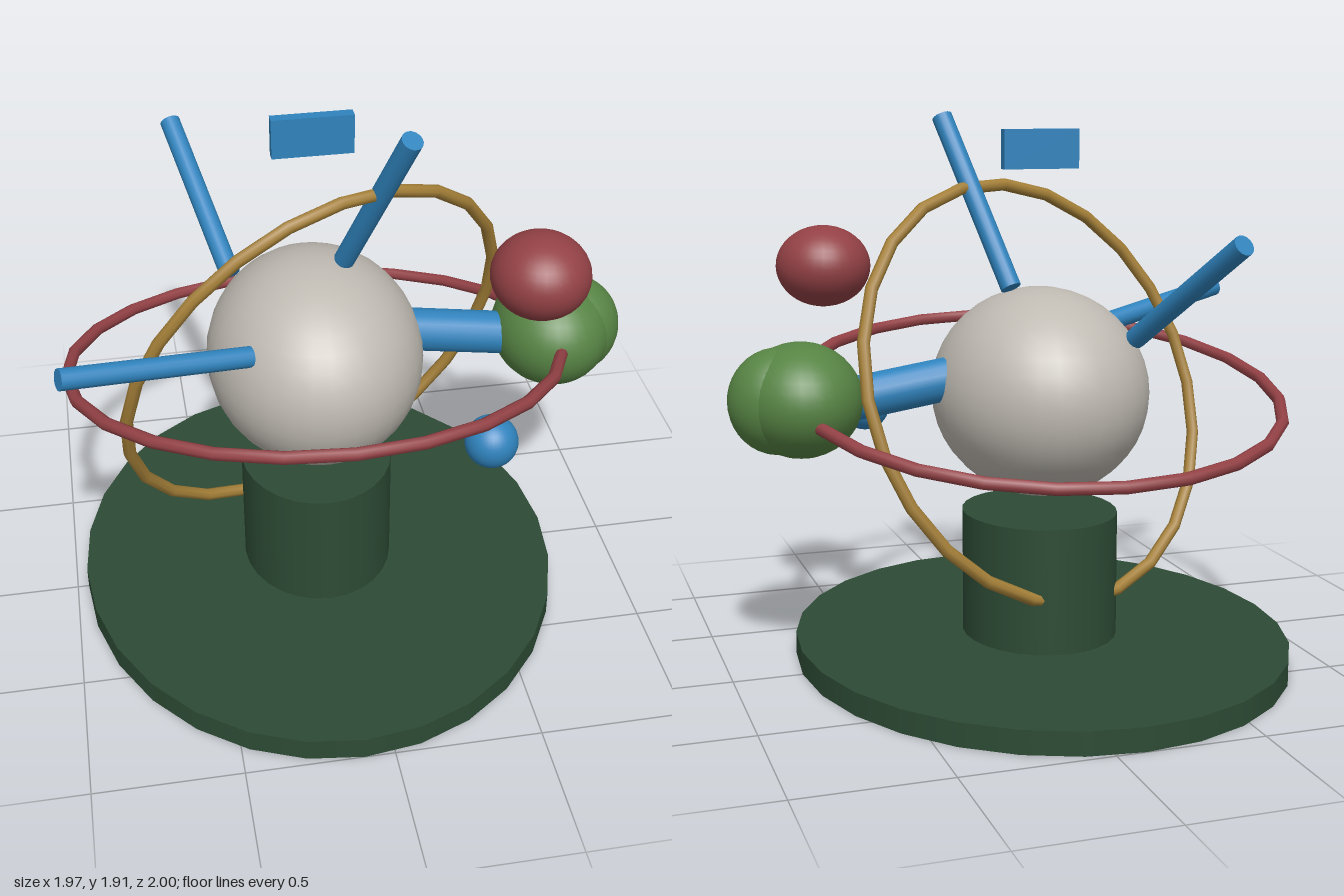
import * as THREE from 'three';

const mat = (name, color) => {
  const m = new THREE.MeshStandardMaterial({ color });
  m.name = name;
  return m;
};

export function createModel() {
  const model = new THREE.Group();
  model.name = 'orrerySculpture';

  const darkGreen = mat('dark green', 0x2d4b35);
  const stone = mat('pale stone', 0xbfbab2);
  const blue = mat('blue', 0x2f83bd);
  const red = mat('dull red', 0x934145);
  const gold = mat('old gold', 0xa58038);
  const green = mat('leaf green', 0x578444);

  const add = (name, geometry, material, pos = [0, 0, 0], scale = [1, 1, 1]) => {
    const mesh = new THREE.Mesh(geometry, material);
    mesh.name = name;
    mesh.position.set(...pos);
    mesh.scale.set(...scale);
    model.add(mesh);
    return mesh;
  };

  // Ellipsoid from centre and three radii
  const ball = (name, material, pos, radii) =>
    add(name, new THREE.SphereGeometry(1, 32, 20), material, pos, radii);

  // Straight round rod between two points
  const rod = (name, material, from, to, radius) => {
    const a = new THREE.Vector3(...from);
    const b = new THREE.Vector3(...to);
    const dir = b.clone().sub(a);
    const mesh = add(name, new THREE.CylinderGeometry(radius, radius, dir.length(), 16), material);
    mesh.position.copy(a).add(b).multiplyScalar(0.5);
    mesh.quaternion.setFromUnitVectors(new THREE.Vector3(0, 1, 0), dir.normalize());
  };

  // Tilted elliptical ring: reach and phase (degrees) along each axis
  const ring = (name, material, reach, phase, tube) => {
    const curve = new THREE.Curve();
    curve.getPoint = (t, target = new THREE.Vector3()) => {
      const [x, y, z] = reach.map((r, i) => r * Math.cos(t * Math.PI * 2 - THREE.MathUtils.degToRad(phase[i])));
      return target.set(x, y, z);
    };
    add(name, new THREE.TubeGeometry(curve, 24, tube, 8, true), material, [-0.1, 0.945, 0]);
  };

  // Oval base and column
  add('base', new THREE.CylinderGeometry(1, 1, 0.08, 28), darkGreen, [-0.1, 0.04, 0], [0.86, 1, 1]);
  add('column', new THREE.CylinderGeometry(1, 1, 0.44, 28), darkGreen, [-0.1, 0.3, 0], [0.27, 1, 0.31]);

  // Central globe and its orbits
  ball('globe', stone, [-0.1, 0.945, 0], [0.375, 0.365, 0.435]);
  ring('redOrbit', red, [0.855, 0.165, 0.81], [0, 90, 90], 0.022);
  ring('goldOrbit', gold, [0.675, 0.71, 0.325], [130, 50, 0], 0.022);

  // Rods standing off the globe
  rod('topRod', blue, [0.005, 1.31, 0], [0.16, 1.89, 0.31], 0.036);
  rod('frontRod', blue, [-0.35, 1.115, 0.24], [-0.97, 1.235, 0.44], 0.036);
  rod('backRod', blue, [-0.36, 1.15, -0.24], [-0.505, 1.505, -0.755], 0.036);
  rod('sideArm', blue, [0.2, 1.01, 0], [0.72, 0.93, 0], 0.076);

  // Floating plate
  add('plate', new THREE.BoxGeometry(0.27, 0.135, 0.04), blue, [-0.1, 1.783, 0]);

  // Outer balls
  ball('greenBall', green, [0.745, 0.96, 0], [0.207, 0.195, 0.235]);
  ball('greenBulge', green, [0.82, 0.96, 0], [0.17, 0.18, 0.165]);
  ball('redBall', red, [0.595, 1.375, 0.315], [0.165, 0.142, 0.17]);
  ball('blueBall', blue, [0.418, 0.84, 0.47], [0.09, 0.09, 0.09]);

  return model;
}
